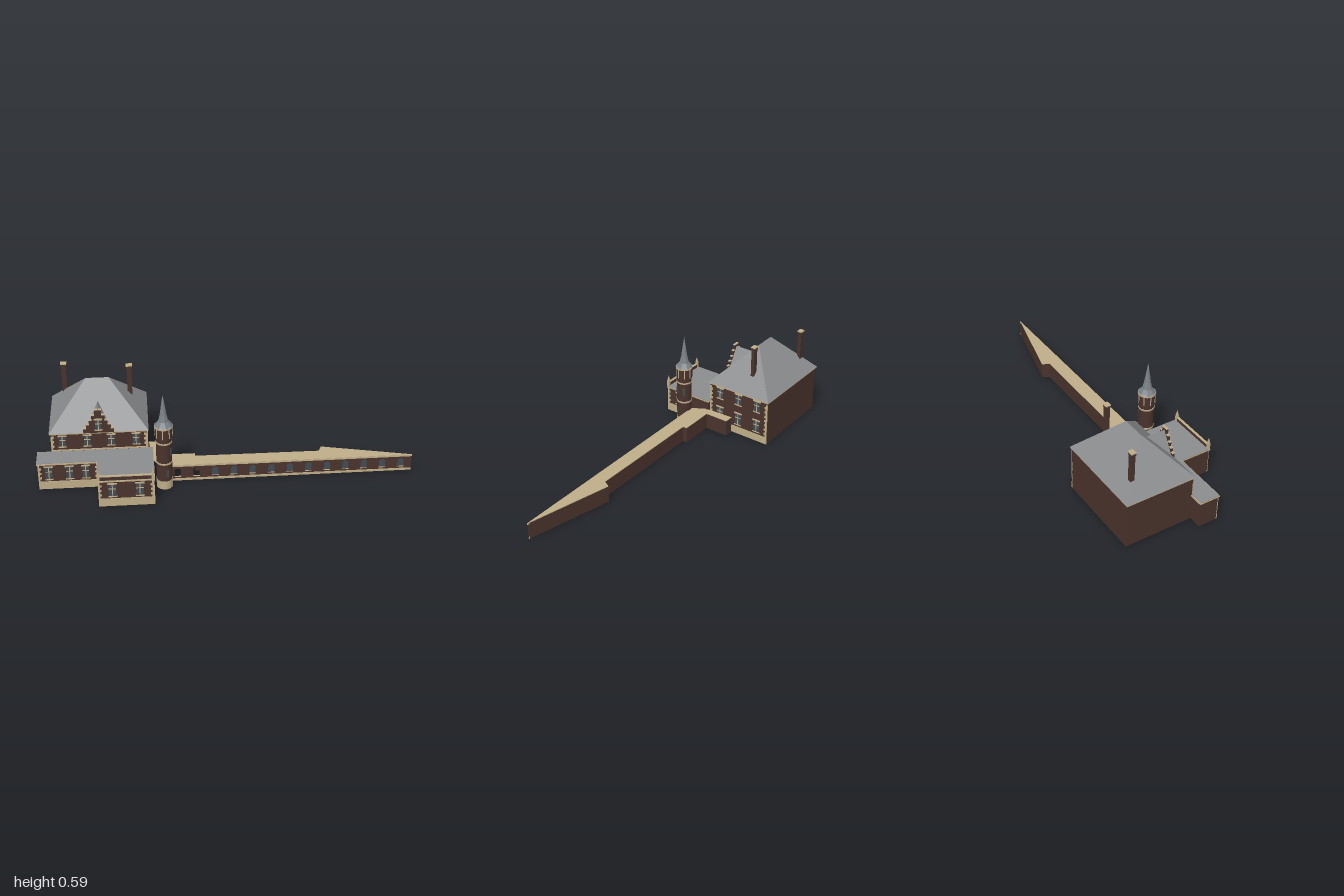
import * as THREE from 'three';

const mat = (name, color, side = THREE.FrontSide) => {
  const m = new THREE.MeshStandardMaterial({ color, side });
  m.name = name;
  return m;
};
const brick = mat('brick', 0x4a332c, THREE.DoubleSide);
const stone = mat('stone', 0xbfad88, THREE.DoubleSide);
const slate = mat('slate', 0x8a8c8e, THREE.DoubleSide);
const spireSlate = mat('spireSlate', 0x7b8187);
const glass = mat('glass', 0x414c53, THREE.DoubleSide);

const ANGLE = 0.256; // the whole estate is turned about the vertical

function add(parent, name, geometry, material, x = 0, y = 0, z = 0) {
  const m = new THREE.Mesh(geometry, material);
  m.name = name;
  m.position.set(x, y, z);
  parent.add(m);
  return m;
}
const box = (parent, name, material, w, h, d, x, y, z) =>
  add(parent, name, new THREE.BoxGeometry(w, h, d), material, x, y, z);

function group(parent, name, x = 0, y = 0, z = 0, ry = 0) {
  const g = new THREE.Group();
  g.name = name;
  g.position.set(x, y, z);
  g.rotation.y = ry;
  if (parent) parent.add(g);
  return g;
}

// Flat-shaded faces from a few corners
function faces(points, index) {
  const g = new THREE.BufferGeometry();
  g.setAttribute('position', new THREE.Float32BufferAttribute(points.flat(), 3));
  g.setIndex(index);
  const flat = g.toNonIndexed();
  flat.computeVertexNormals();
  return flat;
}

// Upright walls along a plan of [x, z] points, open above and below
function walls(plan, height, closed = true) {
  const pts = [], idx = [];
  plan.forEach(([x, z]) => pts.push([x, 0, z], [x, height, z]));
  const n = plan.length;
  for (let i = 0; i < (closed ? n : n - 1); i++) {
    const a = 2 * i, b = 2 * ((i + 1) % n);
    idx.push(a, b, b + 1, a, b + 1, a + 1);
  }
  return faces(pts, idx);
}
const rect = (x0, x1, z0, z1) => [[x0, z1], [x1, z1], [x1, z0], [x0, z0]];

// Casement with lintel, sill and a T of glazing bars
function casement(face, x, y0, y1, w = 0.04) {
  const g = group(face, 'window', x, 0, 0), h = y1 - y0, mid = (y0 + y1) / 2;
  box(g, 'pane', glass, w, h, 0.004, 0, mid, 0);
  box(g, 'mullion', stone, 0.005, h, 0.007, 0, mid, 0);
  box(g, 'transom', stone, w, 0.005, 0.007, 0, y0 + h * 0.62, 0);
  box(g, 'lintel', stone, w + 0.012, 0.008, 0.009, 0, y1 + 0.003, 0);
  box(g, 'sill', stone, w + 0.008, 0.006, 0.009, 0, y0 - 0.002, 0);
}

// Alternating corner stones
function quoins(face, x, side, y0, y1) {
  const step = 0.0145;
  for (let i = 0, y = y0; y + step <= y1 + 0.004; i++, y += step) {
    const w = i % 2 ? 0.018 : 0.01;
    box(face, 'quoin', stone, w, step - 0.001, 0.006, x - side * w / 2, y + step / 2, 0);
  }
}

function mainHouse(parent) {
  const g = group(parent, 'mainHouse');
  const X = 0.262, Z = 0.2;
  add(g, 'houseWalls', walls(rect(-X, X, -Z, Z), 0.28), brick);
  box(g, 'cornice', stone, 0.535, 0.008, 0.41, 0, 0.277, 0);
  const y = 0.281, top = 0.505;
  add(g, 'hippedRoof', faces(
    [[-0.27, y, 0.208], [0.27, y, 0.208], [0.27, y, -0.208], [-0.27, y, -0.208], [-0.063, top, 0], [0.063, top, 0]],
    [0, 1, 5, 0, 5, 4, 1, 2, 5, 2, 3, 4, 2, 4, 5, 3, 0, 4]), slate);

  const front = group(g, 'houseFront', 0, 0, Z);
  for (const x of [-0.2, -0.065, 0.065, 0.2]) casement(front, x, 0.195, 0.26, 0.036);
  box(front, 'stringCourse', stone, 2 * X, 0.008, 0.008, 0, 0.172, 0);
  const right = group(g, 'houseRight', X, 0, 0, Math.PI / 2);
  for (const x of [-0.128, 0, 0.128]) {
    casement(right, x, 0.195, 0.262);
    casement(right, x, 0.062, 0.135);
  }
  box(right, 'plinth', stone, 2 * Z, 0.045, 0.008, 0, 0.0225, 0);
  for (const s of [-1, 1]) {
    quoins(front, s * X, s, 0.175, 0.272);
    quoins(right, s * Z, s, 0.045, 0.272);
  }

  // Stepped gable and its little roof
  const dormer = group(g, 'dormer');
  const steps = [[0.083, 0.305], [0.067, 0.33], [0.05, 0.356], [0.035, 0.388], [0.018, 0.42]];
  let low = 0.28;
  for (const [hw, up] of steps) {
    box(dormer, 'gableStep', brick, 2 * hw, up - low, 0.012, 0, (up + low) / 2, 0.203);
    for (const s of [-1, 1])
      box(dormer, 'gableCoping', stone, 0.018, 0.004, 0.015, s * (hw - 0.008), up + 0.002, 0.203);
    low = up;
  }
  casement(group(dormer, 'gableFace', 0, 0, 0.21), 0, 0.3, 0.362, 0.034);
  add(dormer, 'dormerRoof', faces(
    [[-0.075, 0.285, 0.204], [0, 0.41, 0.204], [0, 0.41, 0.0875], [0.075, 0.285, 0.204]],
    [0, 1, 2, 3, 2, 1]), slate);

  // Chimneys
  for (const [x, z, bottom, up] of [[-0.186, -0.13, 0.33, 0.535], [0.177, -0.043, 0.36, 0.555]]) {
    const c = group(g, 'chimney', x, 0, z);
    box(c, 'stack', brick, 0.026, up - bottom, 0.022, 0, (up + bottom) / 2 - 0.004, 0);
    box(c, 'collar', brick, 0.032, 0.008, 0.027, 0, up - 0.014, 0);
    box(c, 'chimneyCap', stone, 0.034, 0.006, 0.029, 0, up - 0.003, 0);
  }
}

// Low flat-roofed wing
function wing(parent, name, x0, x1, z0, z1) {
  const g = group(parent, name);
  const cx = (x0 + x1) / 2, cz = (z0 + z1) / 2, w = x1 - x0, d = z1 - z0;
  add(g, 'wingWalls', walls(rect(x0, x1, z0, z1), 0.155), brick);
  box(g, 'wingCornice', stone, w + 0.012, 0.008, d + 0.012, cx, 0.158, cz);
  box(g, 'flatRoof', slate, w + 0.01, 0.003, d + 0.004, cx, 0.1635, cz);
  const front = group(g, 'wingFront', cx, 0, z1);
  box(front, 'plinth', stone, w, 0.048, 0.008, 0, 0.024, 0);
  for (const s of [-1, 1]) quoins(front, s * w / 2, s, 0.048, 0.153);
  return { g, front, cx };
}

function tower(parent, x, z) {
  const g = group(parent, 'tower', x, 0, z);
  const drum = (name, m, r, y0, y1) =>
    add(g, name, new THREE.CylinderGeometry(r, r, y1 - y0, 16), m, 0, (y0 + y1) / 2, 0);
  drum('towerBase', stone, 0.045, 0, 0.05);
  drum('shaft', brick, 0.043, 0.05, 0.32);
  drum('lowerBand', stone, 0.045, 0.155, 0.165);
  drum('upperBand', stone, 0.045, 0.282, 0.291);
  drum('lantern', brick, 0.047, 0.315, 0.376);
  drum('towerCornice', stone, 0.05, 0.376, 0.384);
  for (let i = 0; i < 8; i++) {
    const f = group(g, 'lanternSide', 0, 0, 0, (i + 0.5) * Math.PI / 4);
    box(f, 'lanternStrip', stone, 0.005, 0.055, 0.005, 0, 0.348, 0.0465);
  }
  for (const [a, y] of [[0.7, 0.23], [0.1, 0.1], [1.9, 0.23]]) {
    const f = group(g, 'slit', 0, 0, 0, a);
    box(f, 'slitPane', glass, 0.014, 0.045, 0.006, 0, y, 0.0425);
  }
  const profile = [[0.052, 0.382], [0.044, 0.39], [0.028, 0.412], [0.019, 0.45], [0.01, 0.51], [0.003, 0.556], [0.0012, 0.56], [0, 0.587]]
    .map(([r, y]) => new THREE.Vector2(r, y));
  const spire = new THREE.LatheGeometry(profile, 8).toNonIndexed();
  // Lathe runs upward, so its faces already point outward
  spire.computeVertexNormals();
  add(g, 'spire', spire, spireSlate);
}

function arch(ShapeType, x, y0, w, h) {
  const s = new ShapeType(), r = w / 2;
  s.moveTo(x - r, y0);
  s.lineTo(x + r, y0);
  s.lineTo(x + r, y0 + h - r);
  s.absarc(x, y0 + h - r, r, 0, Math.PI, false);
  s.lineTo(x - r, y0);
  return s;
}

// Long garden wall with an arched front
function gallery(parent) {
  const g = group(parent, 'gallery');
  const back = [[1, 0.49], [0.555, 0.25], [0.525, 0.285], [-0.14, 0.105], [-0.135, 0.08],
    [-0.325, 0.03], [-0.29, -0.105], [-0.34, -0.12]];
  add(g, 'galleryBack', walls(back, 0.097, false), brick);
  const plan = [...back, [-0.375, 0.05], [-0.35, 0.137]].map(([x, z]) => new THREE.Vector2(x, -z));
  const cap = new THREE.ExtrudeGeometry(new THREE.Shape(plan), { depth: 0.005, bevelEnabled: false });
  cap.rotateX(-Math.PI / 2);
  add(g, 'coping', cap, stone, 0, 0.096, 0);

  const L = 1.374, front = group(g, 'galleryFront', -0.33, 0, 0.142, -ANGLE);
  const face = new THREE.Shape([[0, 0], [L, 0], [L, 0.097], [0, 0.097]].map(p => new THREE.Vector2(...p)));
  for (let i = 0; i < 13; i++) {
    const x = 0.072 + i * 0.1034;
    face.holes.push(arch(THREE.Path, x, 0.027, 0.034, 0.052));
    // the first two arches stand open
    if (i > 1) add(front, 'archPane', new THREE.ShapeGeometry(arch(THREE.Shape, x, 0.027, 0.034, 0.052)), glass);
    box(front, 'archSill', stone, 0.038, 0.003, 0.006, x, 0.026, 0);
  }
  add(front, 'archedWall', new THREE.ShapeGeometry(face), brick);
  box(front, 'galleryPlinth', stone, L, 0.014, 0.004, L / 2, 0.007, 0);
  box(front, 'galleryCornice', stone, L, 0.009, 0.006, L / 2, 0.0945, 0);
}

export function createModel() {
  const model = group(null, 'estate');
  const house = group(model, 'house', -0.5925, 0, -0.2275, -ANGLE);
  mainHouse(house);

  const left = wing(house, 'leftWing', -0.335, -0.01, 0.2, 0.312);
  for (const x of [-0.277, -0.165, -0.078]) casement(left.front, x - left.cx, 0.062, 0.138, 0.036);

  const fore = wing(house, 'frontWing', -0.01, 0.285, 0.2, 0.497);
  for (const x of [0.065, 0.21]) casement(fore.front, x - fore.cx, 0.062, 0.138);
  const side = group(fore.g, 'frontWingRight', 0.285, 0, 0.3485, Math.PI / 2);
  casement(side, -0.066, 0.062, 0.135);
  box(side, 'plinth', stone, 0.297, 0.048, 0.008, 0, 0.024, 0);
  quoins(side, -0.1485, -1, 0.048, 0.153);

  // Parapet between two pinnacles
  box(fore.g, 'parapet', brick, 0.285, 0.022, 0.01, fore.cx, 0.175, 0.495);
  box(fore.g, 'parapetCoping', stone, 0.285, 0.004, 0.014, fore.cx, 0.188, 0.495);
  for (const x of [-0.006, 0.281]) {
    const p = group(fore.g, 'pinnacle', x, 0, 0.495);
    box(p, 'pinnacleBase', stone, 0.015, 0.036, 0.015, 0, 0.182, 0);
    add(p, 'pinnacleTip', new THREE.ConeGeometry(0.01, 0.036, 4).rotateY(Math.PI / 4), stone, 0, 0.218, 0);
  }

  tower(model, -0.34, 0.178);
  gallery(model);
  return model;
}
